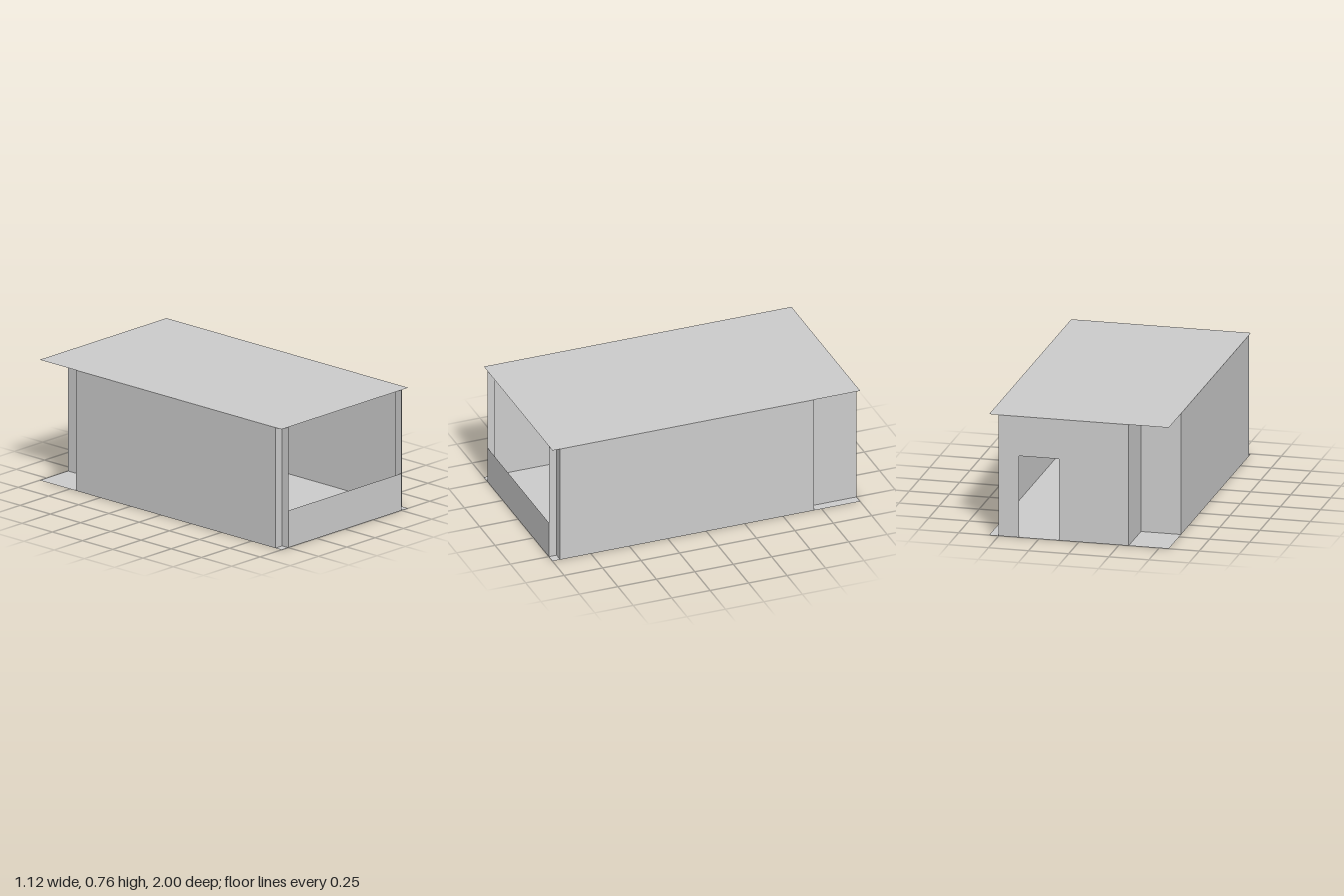
import * as THREE from 'three';

const W = 0.56, D = 1, H = 0.765; // half width, half depth, height
const IN = 0.5;                   // inset wall line
const BACK = -0.7, BAY = 0.95;    // z of the rear and front wall steps
const NOTCH = -0.31;              // x of the rear corner recess

const material = new THREE.MeshStandardMaterial({ color: 0xcccccc, side: THREE.DoubleSide });

export function createModel() {
  const model = new THREE.Group();

  const add = (name, geometry, parent = model) => {
    const mesh = new THREE.Mesh(geometry, material);
    mesh.name = name;
    parent.add(mesh);
    return mesh;
  };

  // Upright thin panel between two plan points [x, z]
  const wall = (name, [x0, z0], [x1, z1], height = H) => {
    const mesh = add(name, new THREE.PlaneGeometry(Math.hypot(x1 - x0, z1 - z0), height));
    mesh.position.set((x0 + x1) / 2, height / 2, (z0 + z1) / 2);
    mesh.rotation.y = -Math.atan2(z1 - z0, x1 - x0);
  };

  // Floor and flat roof sheets
  for (const [name, y] of [['floor', 0], ['roof', H]]) {
    const sheet = add(name, new THREE.PlaneGeometry(2 * W, 2 * D));
    sheet.rotation.x = -Math.PI / 2;
    sheet.position.y = y;
  }

  // Long side walls and the stepped front corners
  for (const [side, s] of [['left', 1], ['right', -1]]) {
    wall(side + 'SideWall', [s * W, BAY], [s * W, BACK]);
    wall(side + 'FrontStep', [s * IN, BAY], [s * W, BAY]);
    wall(side + 'FrontReturn', [s * IN, D], [s * IN, BAY]);
  }

  // Low parapet under the open front
  wall('frontSill', [-IN, D], [IN, D], 0.235);

  // Shallow step at one rear corner, deep recess at the other
  wall('leftRearStep', [IN, BACK], [W, BACK]);
  wall('leftRearWall', [IN, BACK], [IN, -D]);
  wall('recessBackWall', [-W, BACK], [NOTCH, BACK]);
  wall('recessSideWall', [NOTCH, BACK], [NOTCH, -D]);

  // Rear wall with a doorway cut up from the floor
  const rear = new THREE.Shape([
    [NOTCH, 0], [0.125, 0], [0.125, 0.515], [0.375, 0.515],
    [0.375, 0], [IN, 0], [IN, H], [NOTCH, H],
  ].map(([x, y]) => new THREE.Vector2(x, y)));
  add('rearWallWithDoorway', new THREE.ShapeGeometry(rear)).position.z = -D;

  return model;
}
